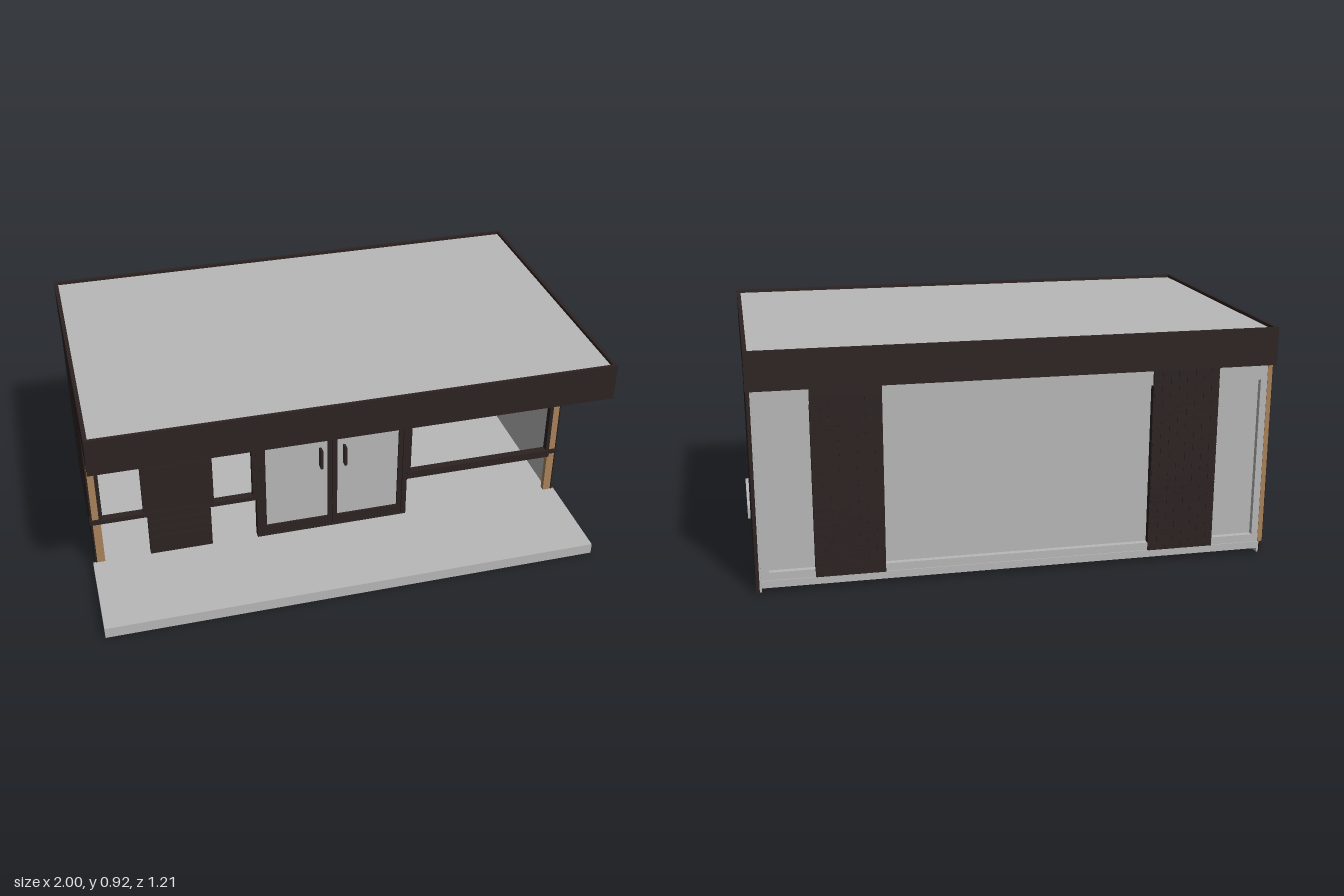
import * as THREE from 'three';

const grey = new THREE.MeshStandardMaterial({ color: 0xb8b8b8 });
grey.name = 'light grey';
const dark = new THREE.MeshStandardMaterial({ color: 0x2c2322 });
dark.name = 'dark cladding';
const wood = new THREE.MeshStandardMaterial({ color: 0xa9825a });
wood.name = 'tan wood';

// Box given by its min and max on each axis
function box(parent, name, mat, x0, x1, y0, y1, z0, z1) {
  const mesh = new THREE.Mesh(new THREE.BoxGeometry(x1 - x0, y1 - y0, z1 - z0), mat);
  mesh.position.set((x0 + x1) / 2, (y0 + y1) / 2, (z0 + z1) / 2);
  mesh.name = name;
  parent.add(mesh);
  return mesh;
}

function rect(Type, x0, x1, y0, y1) {
  const r = new Type();
  r.moveTo(x0, y0);
  r.lineTo(x1, y0);
  r.lineTo(x1, y1);
  r.lineTo(x0, y1);
  r.closePath();
  return r;
}

// Rectangular frame: outer and inner are [x0, x1, y0, y1]
function frame(parent, name, mat, outer, inner, z0, z1) {
  const shape = rect(THREE.Shape, ...outer);
  shape.holes.push(rect(THREE.Path, ...inner));
  const geo = new THREE.ExtrudeGeometry(shape, { depth: z1 - z0, bevelEnabled: false });
  const mesh = new THREE.Mesh(geo, mat);
  mesh.position.z = z0;
  mesh.name = name;
  parent.add(mesh);
  return mesh;
}

function group(parent, name) {
  const g = new THREE.Group();
  g.name = name;
  parent.add(g);
  return g;
}

export function createModel() {
  const model = new THREE.Group();
  model.name = 'storefront';

  // Ground: front terrace and thin interior floor
  box(model, 'terrace', grey, -1, 1, 0.005, 0.05, 0.2, 0.6);
  box(model, 'floor', grey, -0.97, 0.97, 0.042, 0.05, -0.57, 0.2);

  // Roof: grey deck inside a dark fascia
  const roof = group(model, 'roof');
  box(roof, 'roofDeck', grey, -0.977, 0.977, 0.78, 0.903, -0.592, 0.592);
  const fascia = frame(roof, 'fascia', dark,
    [-0.992, 0.992, -0.605, 0.605], [-0.977, 0.977, -0.592, 0.592], 0, 0.145);
  fascia.rotation.x = -Math.PI / 2;
  fascia.position.set(0, 0.77, 0);

  // Side walls: three clad panels with grooves, grey lining inside
  for (const s of [-1, 1]) {
    const wall = group(model, s > 0 ? 'leftWall' : 'rightWall');
    const side = (name, mat, a, b, y0, y1, z0, z1) =>
      box(wall, name, mat, Math.min(s * a, s * b), Math.max(s * a, s * b), y0, y1, z0, z1);
    side('wallCore', dark, 0.976, 0.985, 0, 0.78, -0.583, 0.2);
    for (const [y0, y1] of [[0, 0.257], [0.263, 0.515], [0.521, 0.775]]) {
      side('wallPanel', dark, 0.985, 0.989, y0, y1, -0.583, 0.204);
    }
    side('wallLining', grey, 0.968, 0.976, 0, 0.78, -0.575, 0.19);
  }

  // Back wall: frame around a recessed panel
  const back = group(model, 'backWall');
  frame(back, 'backFrame', grey, [-0.97, 0.97, 0.02, 0.78], [-0.94, 0.94, 0.08, 0.71], -0.585, -0.545);
  box(back, 'backPanel', grey, -0.94, 0.94, 0.08, 0.71, -0.563, -0.557);
  box(back, 'backSill', grey, -0.97, 0.97, 0.03, 0.05, -0.589, -0.585);
  box(back, 'backPost', wood, -0.984, -0.966, 0.05, 0.77, -0.587, -0.575);

  // Brick piers on the back, with staggered courses
  for (const s of [-1, 1]) {
    const pier = group(back, 'brickPier');
    const x0 = s * 0.64 - 0.13;
    box(pier, 'pierCore', dark, x0, x0 + 0.26, 0.05, 0.775, -0.589, -0.557);
    const rows = 24, h = 0.72 / rows, w = 0.065;
    for (let r = 0; r < rows; r++) {
      for (let c = 0; c <= 4; c++) {
        const start = x0 + (c - (r % 2 ? 0.5 : 0)) * w;
        const a = Math.max(start, x0), b = Math.min(start + w - 0.003, x0 + 0.26);
        if (b - a > 0.01) box(pier, 'brick', dark, a, b, 0.05 + r * h, 0.05 + (r + 1) * h - 0.003, -0.592, -0.589);
      }
    }
  }

  // Wooden surround of the front
  const front = group(model, 'front');
  box(front, 'header', wood, -0.982, 0.982, 0.71, 0.78, 0.18, 0.203);
  for (const s of [-1, 1]) {
    box(front, 'frontPost', wood, s * 0.967 - 0.016, s * 0.967 + 0.016, 0.05, 0.71, 0.18, 0.203);
  }

  // Clad pier with grooves between its boards
  box(front, 'pierCore', dark, -0.765, -0.51, 0.05, 0.775, 0.18, 0.203);
  const cuts = [0.05, 0.14, 0.18, 0.22, 0.48, 0.52, 0.56, 0.775];
  for (let i = 0; i < cuts.length - 1; i++) {
    box(front, 'pierBoard', dark, -0.765, -0.51, cuts[i] + 0.003, cuts[i + 1] - 0.003, 0.203, 0.207);
  }

  // Open window frames and the rail below them
  for (const [x0, x1] of [[-0.957, -0.765], [-0.51, -0.32], [0.32, 0.955]]) {
    frame(front, 'windowFrame', dark, [x0, x1, 0.25, 0.715],
      [x0 + 0.015, x1 - 0.015, 0.262, 0.695], 0.18, 0.207);
  }
  box(front, 'rail', dark, -0.994, -0.32, 0.245, 0.265, 0.18, 0.211);
  box(front, 'rail', dark, 0.32, 0.955, 0.232, 0.265, 0.18, 0.211);
  box(front, 'railEnd', dark, 0.955, 0.994, 0.247, 0.265, 0.2, 0.211);

  // Double door
  const door = group(model, 'doubleDoor');
  frame(door, 'doorFrame', dark, [-0.32, 0.32, 0.05, 0.725], [-0.3, 0.3, 0.055, 0.705], 0.175, 0.208);
  box(door, 'doorHead', dark, -0.32, 0.32, 0.715, 0.74, 0.175, 0.212);
  for (const s of [-1, 1]) {
    const cx = s * 0.15;
    frame(door, 'doorLeaf', dark, [cx - 0.149, cx + 0.149, 0.053, 0.71],
      [cx - 0.13, cx + 0.13, 0.098, 0.695], 0.182, 0.204);
    box(door, 'doorPane', grey, cx - 0.13, cx + 0.13, 0.098, 0.695, 0.19, 0.196);
    // Handle: upright grip on two short arms
    const hx = s * 0.05;
    box(door, 'handleGrip', dark, hx - 0.005, hx + 0.005, 0.36, 0.447, 0.218, 0.226);
    for (const y of [0.36, 0.439]) box(door, 'handleArm', dark, hx - 0.005, hx + 0.005, y, y + 0.008, 0.194, 0.218);
    box(door, 'handlePlate', dark, hx - 0.005, hx + 0.005, 0.368, 0.439, 0.196, 0.201);
  }
  return model;
}
